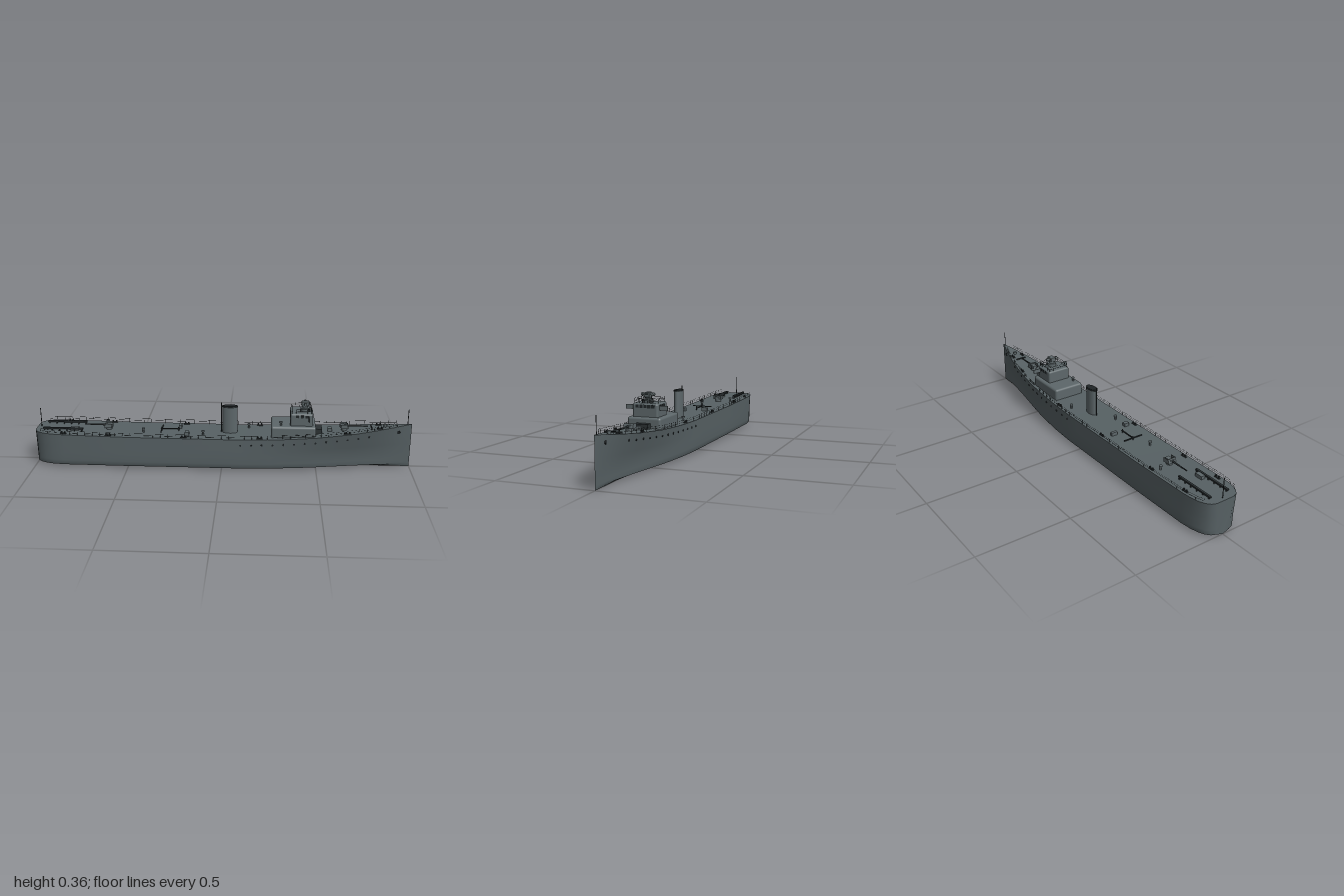
import * as THREE from 'three';
import { toCreasedNormals } from 'three/addons/utils/BufferGeometryUtils.js';
import { RoundedBoxGeometry } from 'three/addons/geometries/RoundedBoxGeometry.js';

const mat = (name, color, side = THREE.FrontSide) => {
  const m = new THREE.MeshStandardMaterial({ color, side });
  m.name = name;
  return m;
};

// Linear lookup in [x, value] pairs
function lookup(table, x) {
  for (let i = 1; i < table.length; i++) {
    if (x <= table[i][0]) {
      const [x0, a] = table[i - 1], [x1, b] = table[i];
      return a + (b - a) * Math.max(0, (x - x0) / (x1 - x0));
    }
  }
  return table[table.length - 1][1];
}
const deckHalf = [[-1, 0.05], [-0.99, 0.075], [-0.97, 0.092], [-0.94, 0.105], [-0.9, 0.113], [-0.84, 0.117],
  [-0.5, 0.119], [0.1, 0.119], [0.25, 0.117], [0.4, 0.11], [0.5, 0.102], [0.6, 0.09], [0.7, 0.075],
  [0.8, 0.055], [0.9, 0.03], [0.96, 0.012], [1, 0.001]];
const bottomHalf = [[-1, 0.04], [-0.99, 0.066], [-0.97, 0.085], [-0.94, 0.1], [-0.9, 0.111], [-0.84, 0.118],
  [-0.5, 0.122], [0.1, 0.122], [0.25, 0.114], [0.4, 0.097], [0.5, 0.081], [0.6, 0.062], [0.7, 0.043],
  [0.8, 0.026], [0.9, 0.012], [0.96, 0.004], [1, 0.001]];
const sheer = [[-1, 0.187], [-0.8, 0.182], [-0.5, 0.177], [0.1, 0.175], [0.3, 0.179], [0.5, 0.188],
  [0.7, 0.204], [0.85, 0.221], [1, 0.24]];
const deckY = (x) => lookup(sheer, x);

// Half width of the hull side at a given station and height
function sideHalf(x, y) {
  const t = Math.max(0, (y - 0.075) / (deckY(x) - 0.075));
  const b = lookup(bottomHalf, x), d = lookup(deckHalf, x);
  return b + (d - b) * Math.min(1, t);
}

function hullGeometries() {
  const xs = deckHalf.map((p) => p[0]);
  for (let x = -0.4; x < 0.1; x += 0.1) xs.push(x);
  xs.push(0.175, 0.325, 0.45, 0.55, 0.65, 0.75, 0.85);
  xs.sort((a, b) => a - b);
  const rings = xs.map((x) => {
    const top = deckY(x), b = lookup(bottomHalf, x);
    const half = [[sideHalf(x, top), top]];
    for (const f of [0.66, 0.33, 0]) {
      const y = 0.08 + (top - 0.08) * f;
      half.push([sideHalf(x, y), y]);
    }
    half.push([b, 0.04], [b * 0.99, 0.022], [b * 0.95, 0.013]);
    const mirror = half.slice().reverse().map(([z, y]) => [-z, y]);
    return [...half, [0, 0], ...mirror].map(([z, y]) => [x, y, z]);
  });
  const hull = [], deck = [], n = rings[0].length;
  for (let i = 0; i < rings.length - 1; i++) {
    const a = rings[i], c = rings[i + 1];
    for (let j = 0; j < n - 1; j++) hull.push(a[j], a[j + 1], c[j], a[j + 1], c[j + 1], c[j]);
    deck.push(a[n - 1], a[0], c[n - 1], a[0], c[0], c[n - 1]);
  }
  for (let j = 1; j < n - 1; j++) hull.push(rings[0][0], rings[0][j + 1], rings[0][j]);
  return [hull, deck].map((list) => {
    const g = new THREE.BufferGeometry();
    g.setAttribute('position', new THREE.Float32BufferAttribute(list.flat(), 3));
    return toCreasedNormals(g, 0.7);
  });
}

export function createModel() {
  const ship = new THREE.Group();
  ship.name = 'warship';
  const hullGrey = mat('hull grey', 0x566063);
  const deckGrey = mat('deck grey', 0x576164);
  const houseGrey = mat('superstructure grey', 0x5d676a, THREE.DoubleSide);
  const dark = mat('dark fittings', 0x2b3133);
  const black = mat('window black', 0x1f2426);

  const add = (name, geo, m, x = 0, y = 0, z = 0, parent = ship) => {
    const mesh = new THREE.Mesh(geo, m);
    mesh.name = name;
    mesh.position.set(x, y, z);
    parent.add(mesh);
    return mesh;
  };
  const box = (name, m, w, h, d, x, y, z, parent) => add(name, new THREE.BoxGeometry(w, h, d), m, x, y, z, parent);
  const post = (name, m, r, h, x, y, z, parent, sides = 8) =>
    add(name, new THREE.CylinderGeometry(r, r, h, sides), m, x, y + h / 2, z, parent);

  const [hullGeo, deckGeo] = hullGeometries();
  add('hull', hullGeo, hullGrey);
  add('deck', deckGeo, deckGrey);

  // Guard rails with wires and stanchions
  const wire = (name, pts) => add(name, new THREE.TubeGeometry(
    new THREE.CatmullRomCurve3(pts), pts.length * 2, 0.0006, 3), dark);
  for (const s of [1, -1]) {
    const edge = [];
    for (let x = -0.96; x < 0.96; x += 0.04) {
      const z = s * Math.max(0.004, lookup(deckHalf, x) - 0.003);
      edge.push(new THREE.Vector3(x, deckY(x), z));
      post('railStanchion', dark, 0.0007, 0.021, x, deckY(x), z, ship, 4);
    }
    for (const h of [0.011, 0.021]) {
      wire('railWire', edge.map((p) => p.clone().add(new THREE.Vector3(0, h, 0))));
    }
    // Portholes and hawse holes
    for (let i = 0; i < 13; i++) {
      const x = 0.1 + i * 0.056, y = deckY(x) - 0.031;
      const p = add('porthole', new THREE.CylinderGeometry(0.0055, 0.0055, 0.004, 10), black, x, y, s * sideHalf(x, y));
      p.rotation.x = Math.PI / 2;
    }
    const hawse = add('hawseHole', new THREE.CylinderGeometry(0.009, 0.009, 0.006, 10), black, 0.93, 0.198, s * sideHalf(0.93, 0.198));
    hawse.rotation.set(Math.PI / 2, 0, s * 0.25);
    // Mooring bitts
    for (const [x, z] of [[-0.84, 0.098], [-0.6, 0.102], [-0.2, 0.104], [0.2, 0.102], [0.66, 0.068], [0.83, 0.03]]) {
      box('bittBase', dark, 0.032, 0.003, 0.01, x, deckY(x) + 0.0015, s * z);
      for (const dx of [-0.009, 0.009]) post('bitt', dark, 0.004, 0.012, x + dx, deckY(x), s * z);
    }
    // Stern racks
    box('sternRack', dark, 0.215, 0.008, 0.011, -0.85, 0.197, s * 0.053);
    for (let i = 0; i < 6; i++) box('rackLeg', dark, 0.004, 0.014, 0.011, -0.95 + i * 0.04, 0.189, s * 0.053);
  }

  // Deckhouse and bridge
  add('deckhouse', new RoundedBoxGeometry(0.235, 0.08, 0.174, 3, 0.012), houseGrey, 0.376, 0.2, 0);
  add('bridge', new RoundedBoxGeometry(0.118, 0.085, 0.132, 3, 0.01), houseGrey, 0.418, 0.263, 0);
  for (let i = -2; i <= 2; i++) box('bridgeWindow', black, 0.003, 0.016, 0.016, 0.4765, 0.291, i * 0.0205);
  for (const s of [1, -1]) {
    for (const x of [0.395, 0.42, 0.445]) box('sideWindow', black, 0.015, 0.014, 0.003, x, 0.291, s * 0.0655);
    box('bridgeWing', houseGrey, 0.004, 0.022, 0.044, 0.455, 0.284, s * 0.087);
  }
  box('frontLocker', dark, 0.036, 0.026, 0.07, 0.51, 0.2, 0);

  // Bridge roof rail
  for (const y of [0.317, 0.328]) {
    for (const s of [1, -1]) {
      box('roofRail', dark, 0.1, 0.0012, 0.0012, 0.418, y, s * 0.057);
      box('roofRail', dark, 0.0012, 0.0012, 0.114, 0.418 + s * 0.05, y, 0);
    }
  }
  for (let i = 0; i <= 5; i++) {
    for (const s of [1, -1]) {
      post('roofStanchion', dark, 0.0007, 0.024, 0.368 + i * 0.02, 0.305, s * 0.057, ship, 4);
      post('roofStanchion', dark, 0.0007, 0.024, 0.418 + s * 0.05, 0.305, -0.057 + i * 0.0228, ship, 4);
    }
  }

  // Rangefinder director
  const director = new THREE.Group();
  director.name = 'director';
  ship.add(director);
  post('directorBase', houseGrey, 0.024, 0.018, 0.435, 0.304, 0, director, 16);
  post('directorNeck', houseGrey, 0.014, 0.018, 0.435, 0.318, 0, director, 12);
  add('directorHead', new RoundedBoxGeometry(0.04, 0.024, 0.03, 2, 0.004), houseGrey, 0.437, 0.344, 0, director);
  add('rangefinderTube', new THREE.CylinderGeometry(0.006, 0.006, 0.062, 12), houseGrey, 0.437, 0.346, 0, director).rotation.x = Math.PI / 2;
  for (const s of [1, -1]) {
    add('rangefinderEnd', new THREE.CylinderGeometry(0.008, 0.008, 0.008, 12), houseGrey, 0.437, 0.346, s * 0.03, director).rotation.x = Math.PI / 2;
    post('roofInstrument', dark, 0.006, 0.018, 0.455, 0.304, s * 0.018, director);
  }
  box('directorSlot', black, 0.002, 0.007, 0.016, 0.458, 0.348, 0, director);

  // Funnel with cap, opening and steam pipe
  const oval = (name, r, h, y, m) => add(name, new THREE.CylinderGeometry(r, r, h, 28), m, 0.04, y, 0).scale.set(1, 1, 0.55);
  oval('funnel', 0.04, 0.145, 0.246, houseGrey);
  oval('funnelCap', 0.0425, 0.006, 0.319, dark);
  oval('funnelOpening', 0.036, 0.004, 0.322, black);
  post('steamPipe', dark, 0.003, 0.165, -0.006, 0.174, 0);

  // Deck guns, barrel along +x before turning
  const gun = (name, x, turn) => {
    const g = new THREE.Group();
    g.name = name;
    g.position.set(x, deckY(x), 0);
    g.rotation.y = turn;
    ship.add(g);
    post('gunPedestal', houseGrey, 0.016, 0.016, 0, 0, 0, g, 14);
    box('gunBody', houseGrey, 0.044, 0.016, 0.024, 0, 0.022, 0, g);
    box('gunShield', houseGrey, 0.006, 0.024, 0.048, 0.016, 0.025, 0, g).rotation.z = 0.25;
    for (const s of [1, -1]) box('shieldSide', houseGrey, 0.034, 0.022, 0.003, 0, 0.025, s * 0.0225, g);
    const barrel = add('gunBarrel', new THREE.CylinderGeometry(0.003, 0.005, 0.11, 10), dark, 0.07, 0.024, 0, g);
    barrel.rotation.z = -Math.PI / 2;
  };
  gun('foreGun', 0.645, 0);
  gun('aftGun', -0.612, Math.PI);

  // Flag staffs
  post('sternStaff', dark, 0.002, 0.106, -0.98, 0.184, 0, ship, 6);
  post('bowStaff', dark, 0.002, 0.088, 0.978, 0.233, 0, ship, 6);

  // Ventilators
  for (const [x, z, y] of [[-0.63, -0.07], [-0.42, 0.035], [-0.1, 0.055], [0.14, -0.065], [0.31, 0.06, 0.238]]) {
    const base = y ?? deckY(x);
    post('ventPipe', houseGrey, 0.005, 0.02, x, base, z);
    post('ventHead', houseGrey, 0.009, 0.006, x, base + 0.018, z, ship, 12);
  }

  // Hatches, lockers and the stowed boom
  for (const [x, z, w, d] of [[-0.23, -0.05, 0.015, 0.034], [-0.185, 0.06, 0.022, 0.028], [-0.79, 0.035, 0.044, 0.022], [0.57, 0, 0.022, 0.03]]) {
    box('deckLocker', houseGrey, w, 0.02, d, x, deckY(x) + 0.008, z);
  }
  box('stowedBoom', dark, 0.1, 0.005, 0.005, -0.28, 0.187, 0);
  box('boomCrossbar', dark, 0.005, 0.005, 0.11, -0.325, 0.187, 0);
  for (const x of [-0.325, -0.235]) post('boomCrutch', dark, 0.003, 0.02, x, 0.176, 0);
  box('breakwater', dark, 0.003, 0.008, 0.06, 0.79, deckY(0.79) + 0.003, 0);
  post('capstan', houseGrey, 0.009, 0.014, 0.86, deckY(0.86), 0, ship, 12);

  return ship;
}
